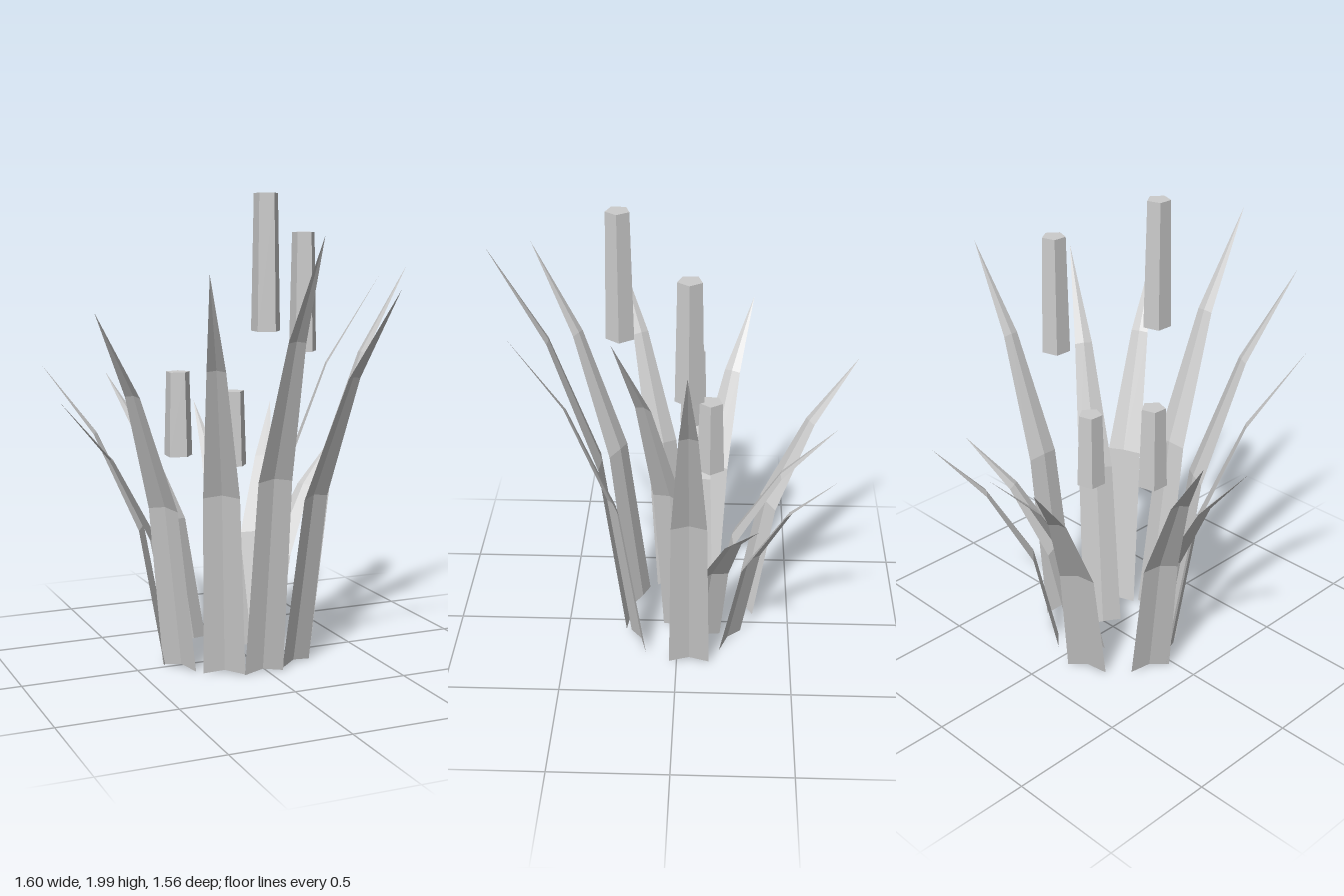
import * as THREE from 'three';

// Each leaf: base x, base z, tip x, tip z, tip height
const LEAVES = [
  [-0.14, -0.30, -0.375, -0.785, 1.19],
  [-0.005, -0.14, 0.02, -0.675, 1.05],
  [0.135, -0.235, 0.405, -0.655, 1.03],
  [0.125, -0.11, 0.585, -0.335, 0.9],
  [0.29, -0.055, 0.8, -0.06, 1.69],
  [0.06, -0.01, 0.505, 0.235, 1.67],
  [0.155, 0.175, 0.375, 0.65, 1.63],
  [-0.02, 0.235, -0.02, 0.775, 1.84],
  [-0.18, 0.185, -0.425, 0.65, 1.7],
  [-0.325, 0.035, -0.76, 0.31, 1.55],
  [-0.29, -0.06, -0.8, -0.06, 1.165],
  [-0.335, -0.10, -0.8, -0.325, 1.29],
];

// Each seed head: x, z, bottom, top
const HEADS = [
  [-0.018, 0.24, 1.45, 2.0],
  [0.29, -0.055, 1.33, 1.84],
  [-0.288, -0.058, 0.91, 1.265],
  [-0.005, -0.138, 0.835, 1.16],
];

// Cross-sections up a leaf: outward fraction, height fraction, half width
const SECTIONS = [[0, 0, 0.088], [0.2, 0.46, 0.075], [0.57, 0.775, 0.038], [1, 1, 0]];

// Creased blade that bends outward and tapers to a point
function leafGeometry([bx, bz, tx, tz, height]) {
  const out = new THREE.Vector2(tx - bx, tz - bz).normalize();
  const pos = [];
  const index = [];
  SECTIONS.forEach(([reach, rise, half], row) => {
    const fold = half * 0.15;
    for (const side of [-1, 0, 1]) {
      const inset = side === 0 ? fold : 0;
      pos.push(
        bx + (tx - bx) * reach + out.y * half * side - out.x * inset,
        height * rise + inset + (row === 0 ? 0.01 : 0),
        bz + (tz - bz) * reach - out.x * half * side - out.y * inset,
      );
    }
    if (row === 0) return;
    for (let i = 0; i < 2; i++) {
      const a = (row - 1) * 3 + i;
      index.push(a, a + 1, a + 3);
      if (half > 0) index.push(a + 1, a + 4, a + 3);
      else if (i === 1) index.push();
    }
  });
  const geo = new THREE.BufferGeometry();
  geo.setAttribute('position', new THREE.Float32BufferAttribute(pos, 3));
  geo.setIndex(index);
  const flat = geo.toNonIndexed();
  flat.computeVertexNormals();
  return flat;
}

export function createModel() {
  const group = new THREE.Group();
  group.name = 'reeds';
  const grey = new THREE.MeshStandardMaterial({ color: 0xcccccc, flatShading: true, side: THREE.DoubleSide });
  grey.name = 'light grey';

  // Ring of leaves
  LEAVES.forEach((leaf, i) => {
    const mesh = new THREE.Mesh(leafGeometry(leaf), grey);
    mesh.name = `leaf${i + 1}`;
    group.add(mesh);
  });

  // Five-sided seed heads
  HEADS.forEach(([x, z, bottom, top], i) => {
    const geo = new THREE.CylinderGeometry(0.051, 0.062, top - bottom, 5, 1, false, 0.28);
    const mesh = new THREE.Mesh(geo, grey);
    mesh.position.set(x, (top + bottom) / 2, z);
    mesh.name = `seedHead${i + 1}`;
    group.add(mesh);
  });
  return group;
}
